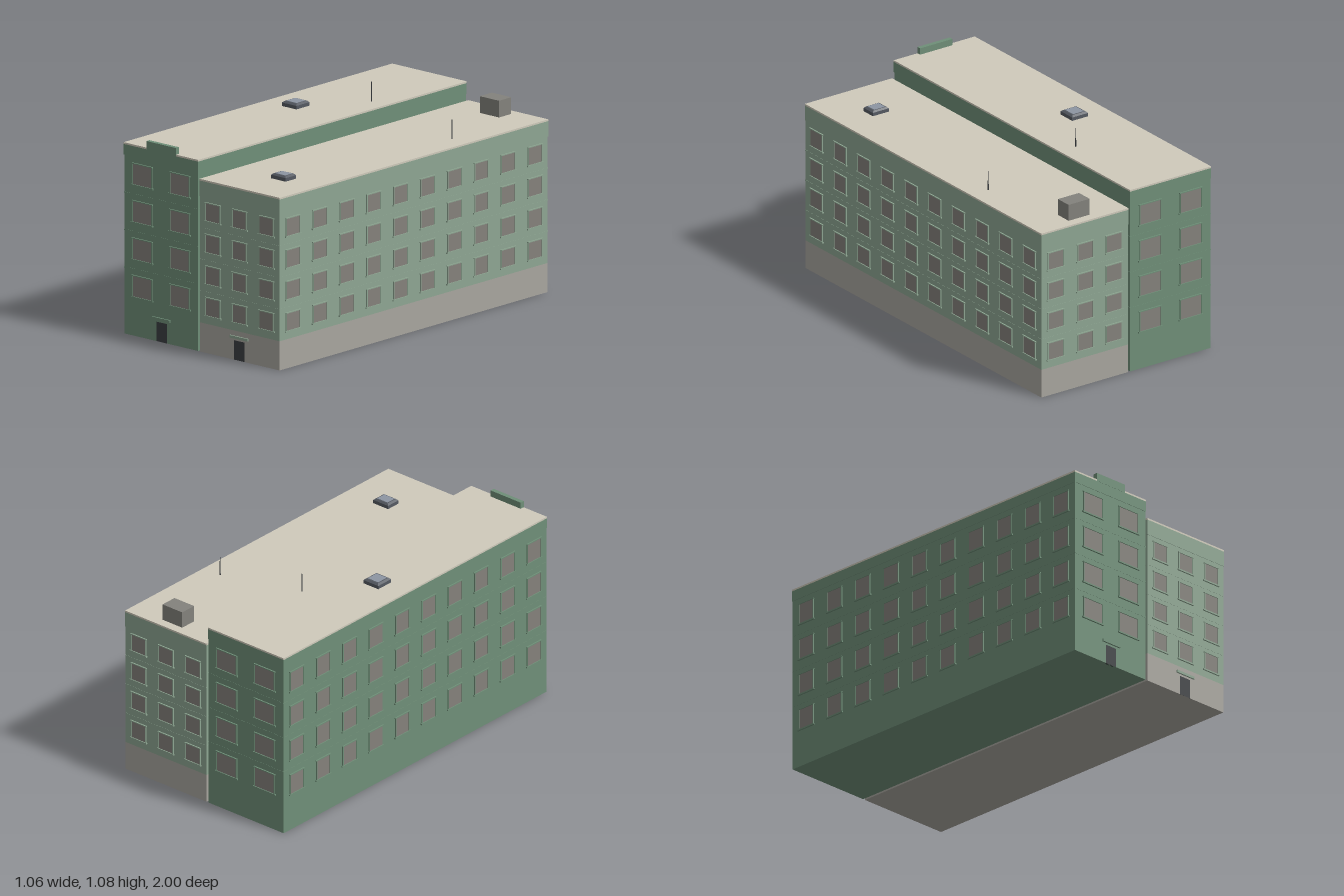
import * as THREE from 'three';

const mat = (color) => new THREE.MeshStandardMaterial({ color });
const M = {
  darkWall: mat(0x6f8f78), lightWall: mat(0x8ea692), base: mat(0xa8a59e), glass: mat(0x84817b),
  roof: mat(0xcfcabb), shed: mat(0x83827c), metal: mat(0x555a62), skyGlass: mat(0x8d95a2), dark: mat(0x3c3f42),
};
const unitBox = new THREE.BoxGeometry(1, 1, 1);

// Box given by its lower and upper limits on each axis
function box(parent, name, material, [x0, x1], [y0, y1], [z0, z1]) {
  const m = new THREE.Mesh(unitBox, material);
  m.name = name;
  m.scale.set(x1 - x0, y1 - y0, z1 - z0);
  m.position.set((x0 + x1) / 2, (y0 + y1) / 2, (z0 + z1) / 2);
  parent.add(m);
  return m;
}

// Window facing +z, bottom centre at the origin: pane, two jambs, lintel, sill
function makeWindow(w, h, wall) {
  const g = new THREE.Group(), a = w / 2, t = 0.005;
  g.name = 'window';
  box(g, 'pane', M.glass, [-a, a], [0, h], [-0.002, 0.003]);
  for (const s of [-1, 1]) {
    const c = s * a;
    box(g, 'jamb', wall, [c - t / 2, c + t / 2], [0, h], [-0.002, 0.006]);
  }
  box(g, 'lintel', wall, [-a - 0.005, a + 0.005], [h - t / 2, h + t / 2], [-0.002, 0.007]);
  box(g, 'sill', wall, [-a - 0.008, a + 0.008], [-t, t / 2], [-0.002, 0.008]);
  return g;
}

const D = 0.992; // half depth of both buildings

function makeBuilding(o) {
  const g = new THREE.Group();
  g.name = o.name;
  const [x0, x1] = o.x, y0 = 0.15;
  const floorH = (o.cornice - y0) / 4;

  // Walls, ground-floor plinth, cornice band and roof slab
  box(g, 'plinth', o.baseMat, o.x, [0, y0], [-D, D]);
  box(g, 'walls', o.wall, o.x, [y0, o.top], [-D, D]);
  const e = 0.002;
  box(g, 'cornice', o.wall, [x0 - e, x1 + e], [o.cornice, o.top], [-D - e, D + e]);
  box(g, 'roofSlab', M.roof, [x0 - e, x1 + e], [o.top, o.top + 0.009], [-D - e, D + e]);

  for (let f = 0; f < 4; f++) {
    const fy = y0 + f * floorH, wy = fy + o.lift;
    // Thin string course between storeys
    if (f > 0) box(g, 'stringCourse', o.wall, [x0 - 0.001, x1 + 0.001], [fy - 0.003, fy + 0.003], [-D - 0.001, D + 0.001]);
    // Front and back windows
    for (const x of o.cols) for (const s of [1, -1]) {
      const w = makeWindow(o.winW, o.winH, o.wall);
      w.position.set(x, wy, s * D);
      if (s < 0) w.rotation.y = Math.PI;
      g.add(w);
    }
    // Outer side windows
    for (let i = 0; i < 10; i++) {
      const w = makeWindow(0.1, o.winH, o.wall);
      w.position.set(o.side > 0 ? x1 : x0, wy, -0.895 + i * 0.199);
      w.rotation.y = o.side * Math.PI / 2;
      g.add(w);
    }
  }

  // Entrance door and canopy
  box(g, 'door', M.dark, [o.doorX - 0.035, o.doorX + 0.035], [0, 0.1], [D - 0.01, D + 0.0003]);
  box(g, 'canopy', o.wall, [o.doorX - 0.06, o.doorX + 0.06], [0.111, 0.124], [D - 0.01, D + 0.008]);

  // Skylight: bevelled curb with a glass top
  const { x, z, w, d } = o.skylight, ry = o.top + 0.009;
  box(g, 'skylightCurb', M.metal, [x - w / 2, x + w / 2], [ry, ry + 0.018], [z - d / 2, z + d / 2]);
  const cap = new THREE.Mesh(
    new THREE.CylinderGeometry(0.4 * Math.SQRT2, 0.5 * Math.SQRT2, 0.008, 4, 1).rotateY(Math.PI / 4).toNonIndexed(), M.metal);
  cap.geometry.computeVertexNormals();
  cap.name = 'skylightCap';
  cap.scale.set(w, 1, d);
  cap.position.set(x, ry + 0.022, z);
  g.add(cap);
  box(g, 'skylightGlass', M.skyGlass, [x - w * 0.34, x + w * 0.34], [ry + 0.02, ry + 0.0275], [z - d * 0.34, z + d * 0.34]);

  // Roof antenna
  const rod = new THREE.Mesh(new THREE.CylinderGeometry(0.0018, 0.003, 0.1, 8), M.dark);
  rod.name = 'antenna';
  rod.position.set(o.antennaX, ry + 0.05, -0.4);
  g.add(rod);
  return g;
}

export function createModel() {
  const root = new THREE.Group();
  root.name = 'apartmentBuildings';

  const tall = makeBuilding({
    name: 'tallBuilding', x: [-0.521, -0.027], top: 0.975, cornice: 0.92, wall: M.darkWall, baseMat: M.darkWall,
    cols: [-0.398, -0.148], winW: 0.13, winH: 0.11, lift: 0.05, side: -1, doorX: -0.27,
    skylight: { x: -0.347, z: -0.085, w: 0.098, d: 0.098 }, antennaX: -0.125,
  });
  // Raised front parapet
  box(tall, 'parapet', M.darkWall, [-0.37, -0.172], [0.975, 1.018], [0.972, 0.995]);

  const low = makeBuilding({
    name: 'lowBuilding', x: [-0.013, 0.519], top: 0.88, cornice: 0.8, wall: M.lightWall, baseMat: M.base,
    cols: [0.074, 0.252, 0.432], winW: 0.094, winH: 0.094, lift: 0.042, side: 1, doorX: 0.25,
    skylight: { x: 0.29, z: 0.71, w: 0.098, d: 0.078 }, antennaX: 0.413,
  });
  // Roof access shed
  box(low, 'roofShed', M.shed, [0.188, 0.317], [0.885, 0.975], [-0.945, -0.855]);

  root.add(tall, low);
  return root;
}
